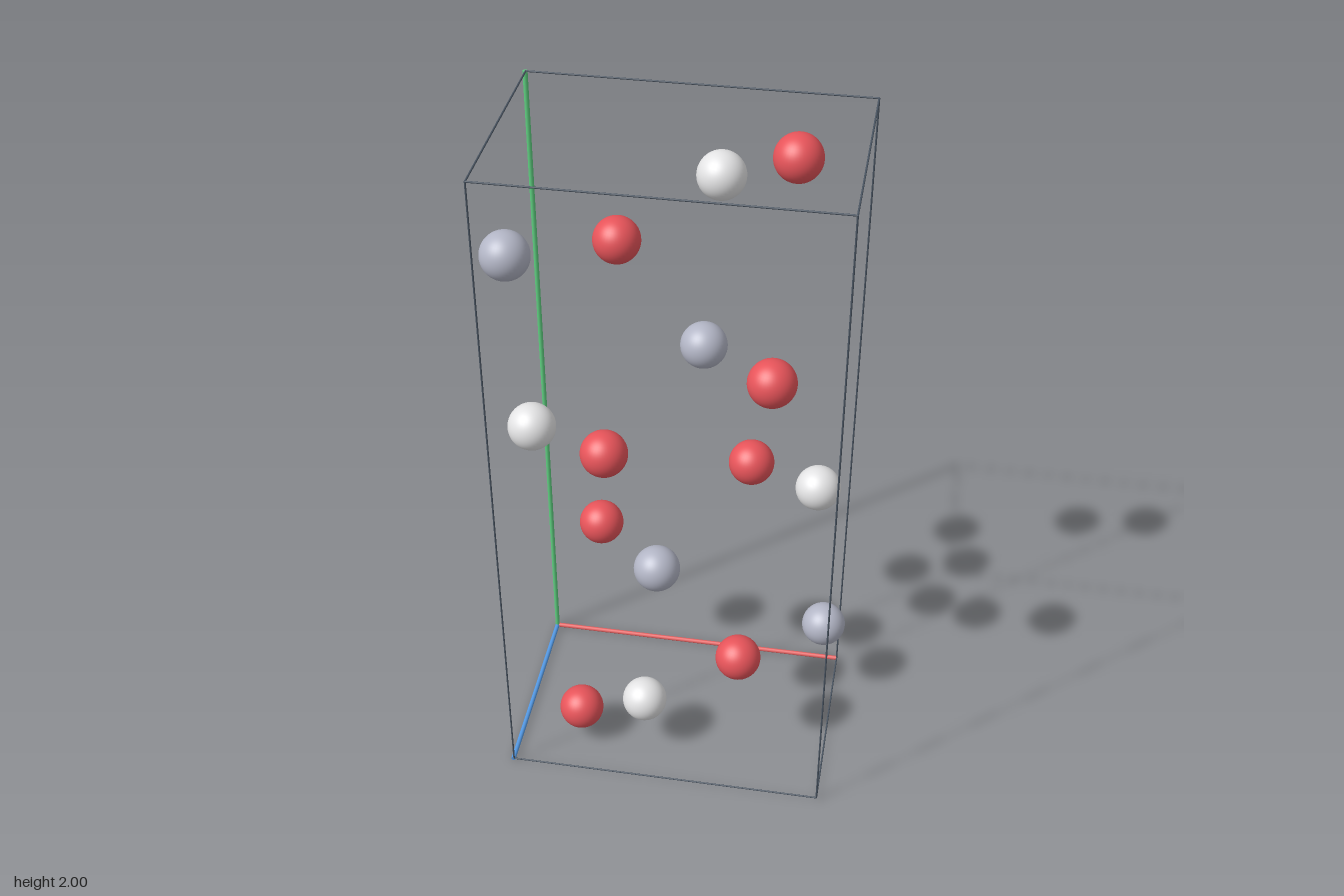
import * as THREE from 'three';

const paint = (name, color) => {
  const m = new THREE.MeshStandardMaterial({ color });
  m.name = name;
  return m;
};

export function createModel() {
  const group = new THREE.Group();
  const red = paint('red', 0xea555b);
  const silver = paint('silver', 0xe4e4e5);
  const slate = paint('slate grey', 0xb3b6c6);
  const edgeGrey = paint('dark slate', 0x4a5562);
  const axisRed = paint('axis red', 0xe86464);
  const axisGreen = paint('axis green', 0x5fce80);
  const axisBlue = paint('axis blue', 0x5499e4);

  // Atoms: each listed one has a partner inverted through the cell centre
  const centre = new THREE.Vector3(0, 1.003, 0.003);
  const ball = new THREE.SphereGeometry(0.066, 40, 28);
  const addAtom = (name, mat, p) => {
    const mesh = new THREE.Mesh(ball, mat);
    mesh.name = name;
    mesh.position.copy(p);
    group.add(mesh);
  };
  const atoms = [
    ['redAtom', red, 0.28, 1.891, -0.147],
    ['redAtom', red, -0.198, 1.602, -0.147],
    ['redAtom', red, 0.267, 1.398, 0.153],
    ['redAtom', red, -0.184, 1.109, 0.153],
    ['silverAtom', silver, 0.083, 1.823, -0.147],
    ['silverAtom', silver, -0.381, 1.177, 0.153],
    ['greyAtom', slate, -0.423, 1.71, 0.153],
    ['greyAtom', slate, 0.041, 1.29, -0.147],
  ];
  for (const [name, mat, x, y, z] of atoms) {
    const p = new THREE.Vector3(x, y, z);
    addAtom(name, mat, p);
    addAtom(name + 'Inverted', mat, centre.clone().multiplyScalar(2).sub(p));
  }

  // Thin rod between two points
  const addRod = (name, mat, a, b, r) => {
    const from = new THREE.Vector3(...a);
    const dir = new THREE.Vector3(...b).sub(from);
    const mesh = new THREE.Mesh(new THREE.CylinderGeometry(r, r, dir.length(), 12), mat);
    mesh.name = name;
    mesh.position.copy(from).addScaledVector(dir, 0.5);
    mesh.quaternion.setFromUnitVectors(new THREE.Vector3(0, 1, 0), dir.normalize());
    group.add(mesh);
  };

  // Cell edges, four along each direction; the one through the origin corner is a coloured axis
  const lo = [-0.463, 0.009, -0.297];
  const hi = [0.464, 1.998, 0.303];
  const axes = [['axisX', axisRed], ['axisY', axisGreen], ['axisZ', axisBlue]];
  axes.forEach(([axisName, axisMat], i) => {
    const u = (i + 1) % 3, v = (i + 2) % 3;
    for (const cu of [lo[u], hi[u]]) {
      for (const cv of [lo[v], hi[v]]) {
        const a = [...lo];
        a[u] = cu;
        a[v] = cv;
        const b = [...a];
        b[i] = hi[i];
        if (cu === lo[u] && cv === lo[v]) {
          // axes sit slightly outside the cell
          a[u] = b[u] = cu - 0.002;
          a[v] = b[v] = cv - 0.002;
          addRod(axisName, axisMat, a, b, 0.007);
        } else {
          addRod('cellEdge', edgeGrey, a, b, 0.0025);
        }
      }
    }
  });

  return group;
}
